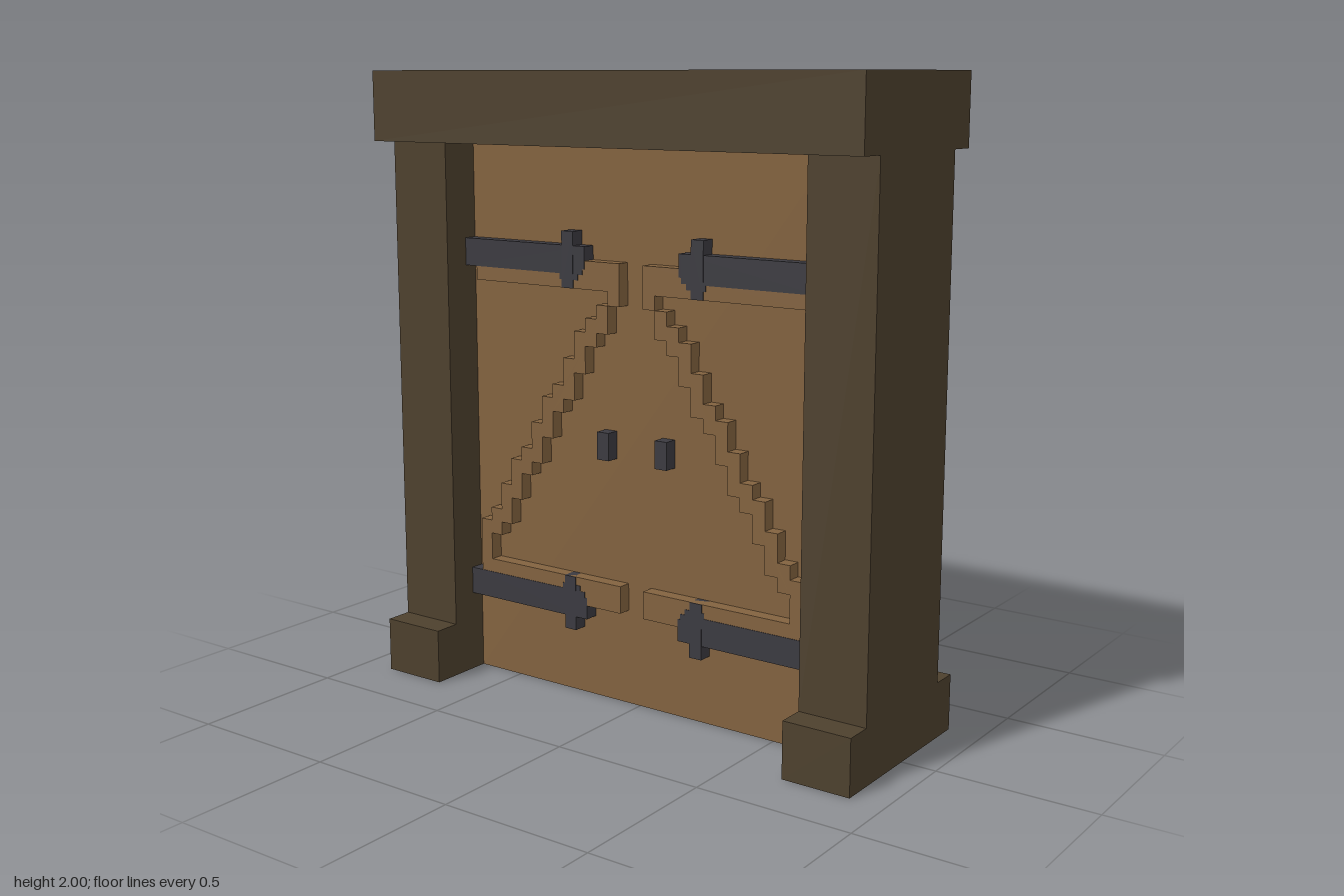
import * as THREE from 'three';

const U = 2 / 45; // one block unit

const mat = (name, color) => {
  const m = new THREE.MeshStandardMaterial({ color });
  m.name = name;
  return m;
};

// Box given by its limits in block units
function block(parent, name, material, x0, x1, y0, y1, z0, z1) {
  const geo = new THREE.BoxGeometry((x1 - x0) * U, (y1 - y0) * U, (z1 - z0) * U);
  const mesh = new THREE.Mesh(geo, material);
  mesh.position.set((x0 + x1) / 2 * U, (y0 + y1) / 2 * U, (z0 + z1) / 2 * U);
  mesh.name = name;
  parent.add(mesh);
  return mesh;
}

// Raised Z-shaped brace: two bars joined by a stepped diagonal
function braceGeometry() {
  const line = (y) => -13.5 + 0.6 * (y - 10.2);
  const left = [], right = [];
  for (let row = 7; row < 32; row++) {
    let a = -14, b = -1;
    if (row >= 9 && row < 30) {
      a = row === 29 ? -2 : Math.max(-14, Math.floor(line(row)));
      b = Math.min(-1, Math.floor(line(row + 1)) + 1);
    }
    left.push([a, row], [a, row + 1]);
    right.push([b, row], [b, row + 1]);
  }
  const outline = [...right, ...left.reverse()]
    .map(([x, y]) => new THREE.Vector2(x * U, y * U))
    // drop points lying in the middle of a straight edge
    .filter((p, i, all) => {
      const q = all[(i + all.length - 1) % all.length], r = all[(i + 1) % all.length];
      return Math.abs((p.x - q.x) * (r.y - p.y) - (p.y - q.y) * (r.x - p.x)) > 1e-9;
    });
  return new THREE.ExtrudeGeometry(new THREE.Shape(outline), { depth: U, bevelEnabled: false });
}

export function createModel() {
  const model = new THREE.Group();
  model.name = 'woodenDoorway';
  const frameWood = mat('darkFrameWood', 0x4d402d);
  const doorWood = mat('doorWood', 0x82623f);
  const iron = mat('iron', 0x3b3a40);

  // Frame: lintel, posts and feet
  block(model, 'lintel', frameWood, -20, 20, 40, 45, -7, 7);
  for (const [side, x] of [['right', -20], ['left', 15]]) {
    block(model, side + 'Post', frameWood, x, x + 5, 4, 40, -5, 5);
    block(model, side + 'Foot', frameWood, x, x + 5, 0, 4, -7, 7);
  }

  // Door panel
  block(model, 'doorPanel', doorWood, -15, 15, 0, 40, -2, 2);

  // Braces, straps and handles, the same on both faces
  const brace = braceGeometry();
  for (const [faceName, turn] of [['front', 0], ['back', Math.PI]]) {
    const face = new THREE.Group();
    face.name = faceName + 'Fittings';
    face.rotation.y = turn;
    model.add(face);

    for (const s of [-1, 1]) {
      const half = new THREE.Group();
      half.name = s < 0 ? 'rightLeaf' : 'leftLeaf';
      half.scale.x = -s; // modelled on -x, mirrored for the other leaf
      face.add(half);

      const trim = new THREE.Mesh(brace, doorWood);
      trim.name = 'brace';
      trim.position.z = 2 * U;
      half.add(trim);

      block(half, 'handle', iron, -3, -2, 18, 20, 2, 3);

      // Hinge straps: the lower one is the upper one turned over
      for (const [name, centre, d] of [['upperHinge', 32, 1], ['lowerHinge', 7, -1]]) {
        const hinge = new THREE.Group();
        hinge.name = name;
        hinge.position.y = centre * U;
        hinge.scale.y = d;
        half.add(hinge);
        block(hinge, 'strap', iron, -15, -4.2, -1, 1, 2, 3.04);
        block(hinge, 'strapTip', iron, -4.2, -4, -0.6, 1, 2, 3.04);
        block(hinge, 'strapBulge', iron, -6.2, -4.6, -1.4, -1, 2, 3.04);
        block(hinge, 'crossBar', iron, -6, -5, -2, 2, 2, 3.06);
      }
    }
  }
  return model;
}
